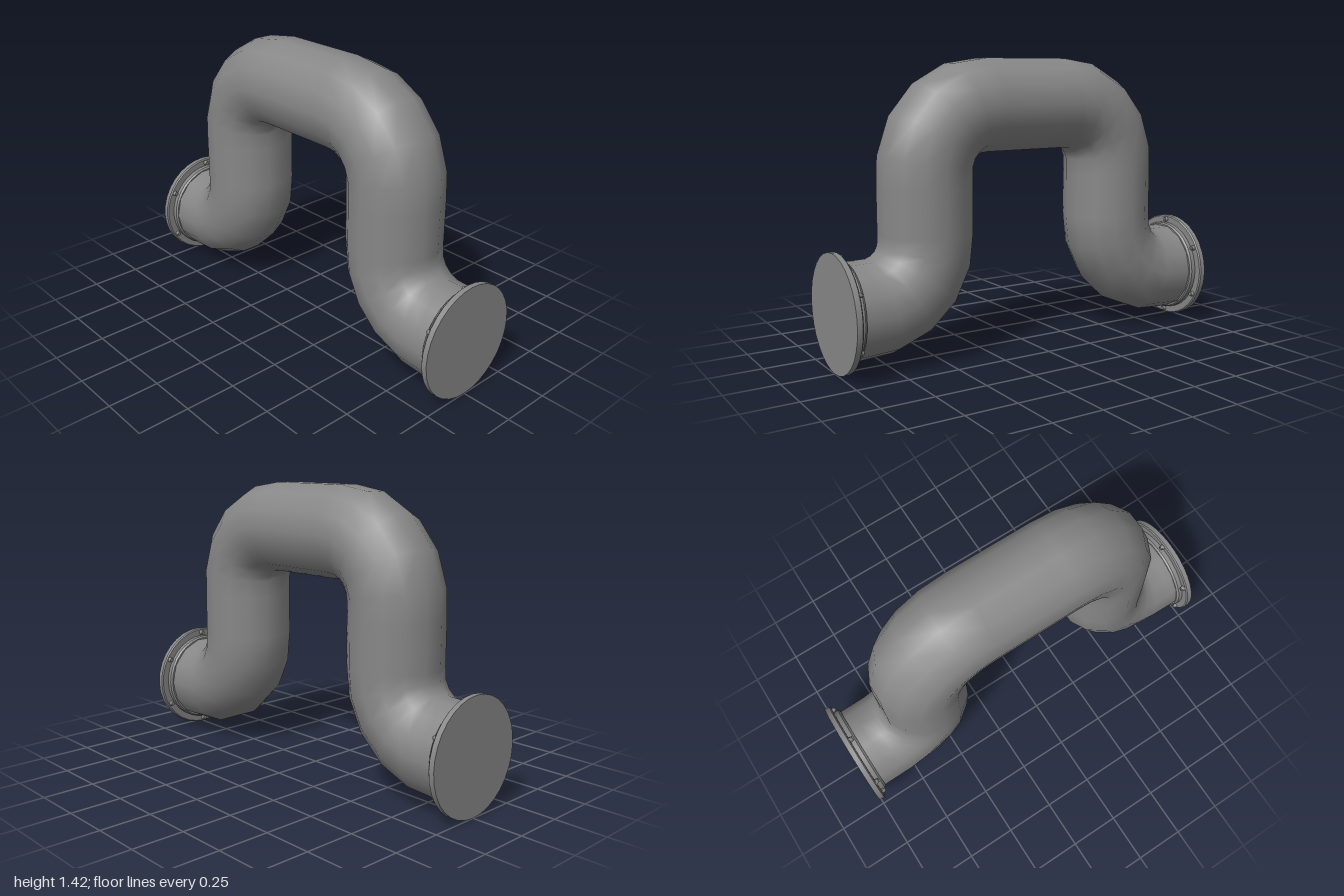
import * as THREE from 'three';
import { toCreasedNormals } from 'three/addons/utils/BufferGeometryUtils.js';

const LOW = 0.281, HIGH = 1.1975;   // centreline heights of the ends and of the bridge
const BEND = 0.3, LEG = 0.535;      // bend radius, x of the upright legs

// Centreline: straight runs joined by four quarter bends, parametrised by length
class PipePath extends THREE.Curve {
  constructor() {
    super();
    const arc = BEND * Math.PI / 2;
    this.runs = [LEG - BEND, arc, HIGH - LOW - 2 * BEND, arc, 0.998 - LEG - BEND];
    this.half = this.runs.reduce((a, b) => a + b, 0);
  }
  getPoint(t, target = new THREE.Vector3()) {
    const side = t < 0.5 ? -1 : 1;
    let s = Math.abs(t - 0.5) * 2 * this.half;
    let i = 0;
    while (i < 4 && s > this.runs[i]) s -= this.runs[i++];
    const a = s / BEND;
    const [x, y] = [
      () => [s, HIGH],
      () => [LEG - BEND + BEND * Math.sin(a), HIGH - BEND + BEND * Math.cos(a)],
      () => [LEG, HIGH - BEND - s],
      () => [LEG + BEND - BEND * Math.cos(a), LOW + BEND - BEND * Math.sin(a)],
      () => [LEG + BEND + s, LOW],
    ][i]();
    return target.set(side * x, y, 0);
  }
}

export function createModel() {
  const model = new THREE.Group();
  model.name = 'pipeBridge';
  const material = new THREE.MeshStandardMaterial({ color: 0x878787 });
  const add = (parent, name, geometry) => {
    const mesh = new THREE.Mesh(geometry, material);
    mesh.name = name;
    parent.add(mesh);
    return mesh;
  };

  // Bent pipe
  const pipe = add(model, 'pipe', new THREE.TubeGeometry(new PipePath(), 30, 0.2275, 14, false));
  pipe.position.z = 0.002;

  // Closed flange with a bevelled collar, turned around the pipe end
  const profile = [
    [0.222, 0.935], [0.231, 0.935], [0.238, 0.945], [0.238, 0.968],
    [0.272, 0.968], [0.278, 0.974], [0.278, 1], [0, 1],
  ].map(([r, h]) => new THREE.Vector2(r, h));
  const flangeGeometry = toCreasedNormals(new THREE.LatheGeometry(profile, 32), 0.5);
  flangeGeometry.rotateZ(-Math.PI / 2);

  // Bolt head lying along x
  const boltGeometry = toCreasedNormals(new THREE.CylinderGeometry(0.015, 0.01, 0.02, 8), 0.9);
  boltGeometry.rotateZ(-Math.PI / 2);

  for (const [name, turn] of [['left', 0], ['right', Math.PI]]) {
    const end = new THREE.Group();
    end.name = name + 'End';
    end.position.y = LOW;
    end.rotation.y = turn;
    add(end, name + 'Flange', flangeGeometry);
    for (let i = 0; i < 6; i++) {
      const a = i * Math.PI / 3;
      add(end, name + 'Bolt', boltGeometry)
        .position.set(0.96, 0.255 * Math.cos(a), 0.255 * Math.sin(a));
    }
    model.add(end);
  }
  return model;
}
